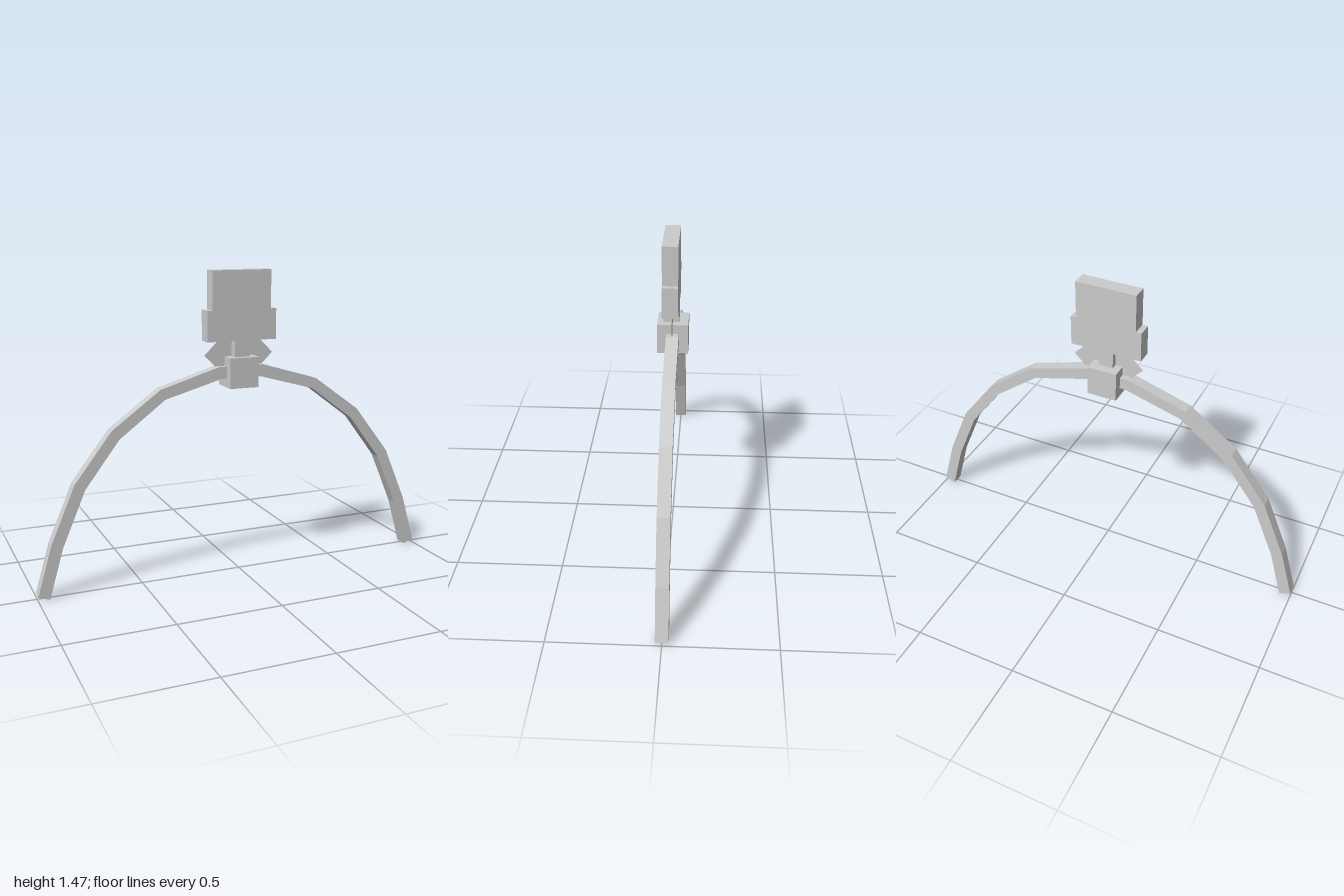
import * as THREE from 'three';

const material = new THREE.MeshStandardMaterial({ color: 0xcccccc, flatShading: true, side: THREE.DoubleSide });

function addMesh(group, name, geometry) {
  const mesh = new THREE.Mesh(geometry, material);
  mesh.name = name;
  group.add(mesh);
}

// Box given by half width and its y and z ranges, centred on x = 0
function addBox(group, name, halfWidth, y0, y1, z0, z1) {
  const geometry = new THREE.BoxGeometry(halfWidth * 2, y1 - y0, z1 - z0);
  geometry.translate(0, (y0 + y1) / 2, (z0 + z1) / 2);
  addMesh(group, name, geometry);
}

// Closed outline from the right half, mirrored to the left
function mirroredShape(half) {
  const left = half.map(([x, y]) => [-x, y]).reverse();
  return new THREE.Shape([...half, ...left].map(([x, y]) => new THREE.Vector2(x, y)));
}

export function createModel() {
  const group = new THREE.Group();
  group.name = 'ornamentedHeadband';

  // Faceted arch with a square section
  const outer = [[0.11, 1.02], [0.4, 0.933], [0.634, 0.762], [0.814, 0.528], [0.93, 0.257], [1, 0.018]];
  const inner = [[0.946, 0], [0.877, 0.238], [0.765, 0.5], [0.6, 0.718], [0.378, 0.885], [0.1, 0.963]];
  const band = new THREE.ExtrudeGeometry(mirroredShape([...outer, ...inner]), { depth: 0.058, bevelEnabled: false });
  band.translate(0, 0, -0.029);
  addMesh(group, 'band', band);

  // Block clasping the crown of the arch
  addBox(group, 'centreBlock', 0.072, 0.92, 1.064, -0.072, 0.072);

  // Stepped upright plate on a narrow neck
  const plate = new THREE.ExtrudeGeometry(mirroredShape([
    [0.147, 1.467], [0.147, 1.285], [0.174, 1.285], [0.174, 1.14], [0.036, 1.14], [0.036, 1.0],
  ]), { depth: 0.072, bevelEnabled: false });
  plate.translate(0, 0, -0.029);
  addMesh(group, 'plateAndNeck', plate);

  // Flat pointed wings between plate and band
  addMesh(group, 'wings', new THREE.ShapeGeometry(mirroredShape([
    [0.1, 1.145], [0.174, 1.073], [0.1, 1.0],
  ])));

  return group;
}
